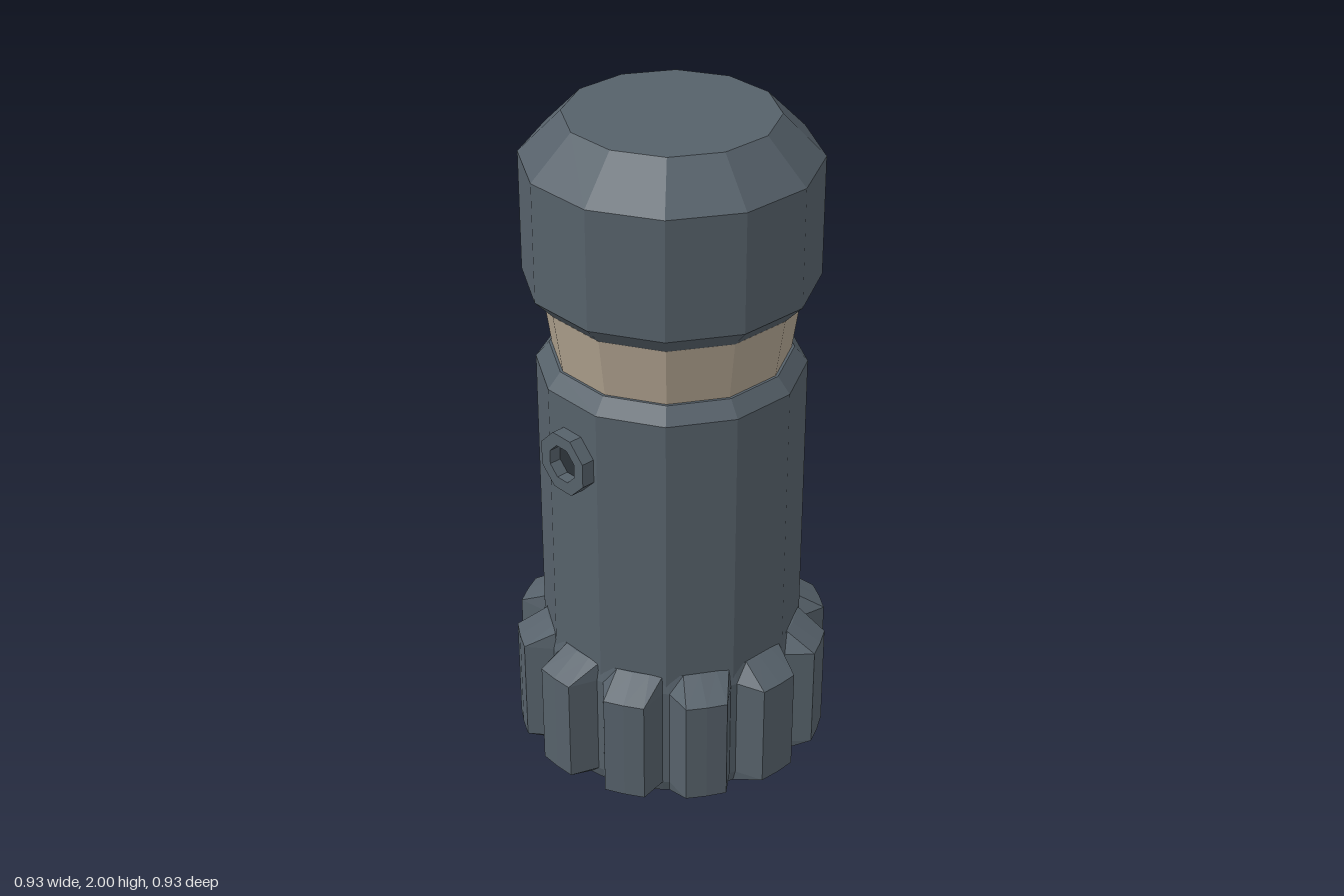
import * as THREE from 'three';

const SIDES = 12;
const mat = (color) => new THREE.MeshStandardMaterial({ color, flatShading: true });

// Twelve-sided turned part; profile pairs are [distance to flat, height], bottom to top
function turned(name, profile, material) {
  const k = 1 / Math.cos(Math.PI / SIDES);
  const pts = profile.map(([r, y]) => new THREE.Vector2(r * k, y));
  const mesh = new THREE.Mesh(new THREE.LatheGeometry(pts, SIDES, Math.PI / SIDES), material);
  mesh.name = name;
  return mesh;
}

// Ribbed grip: a toothed outline stacked in four rings, pulled in at both ends
function gripGeometry() {
  const tooth = [[-13.5, 0.388], [-7.5, 0.464], [0, 0.463], [7.5, 0.464], [13.5, 0.388]];
  const rings = [[0, 0.375], [0.04, 1], [0.365, 1], [0.42, 0.375]];
  const n = tooth.length * SIDES;
  const pos = [], index = [];
  for (const [y, limit] of rings) {
    for (let t = 0; t < SIDES; t++) {
      for (const [deg, radius] of tooth) {
        const a = THREE.MathUtils.degToRad(t * 30 + deg);
        const r = Math.min(radius, limit);
        pos.push(r * Math.sin(a), y, r * Math.cos(a));
      }
    }
  }
  const bottom = pos.length / 3, top = bottom + 1;
  pos.push(0, 0, 0, 0, 0.42, 0);
  for (let i = 0; i < n; i++) {
    const j = (i + 1) % n;
    for (let k = 0; k < rings.length - 1; k++) {
      const a = k * n, b = a + n;
      index.push(a + i, a + j, b + j, a + i, b + j, b + i);
    }
    const last = (rings.length - 1) * n;
    index.push(bottom, j, i, top, last + i, last + j);
  }
  const g = new THREE.BufferGeometry();
  g.setAttribute('position', new THREE.Float32BufferAttribute(pos, 3));
  g.setIndex(index);
  g.computeVertexNormals();
  return g;
}

// Octagon with flats on the axes
function octagon(r) {
  return Array.from({ length: 8 }, (_, i) => {
    const a = (i + 0.5) * Math.PI / 4;
    return new THREE.Vector2(r * Math.cos(a), r * Math.sin(a));
  });
}

// Raised octagonal port with a dark recess
function port(name, metal, dark) {
  const group = new THREE.Group();
  group.name = name;
  const shape = new THREE.Shape(octagon(0.094));
  shape.holes.push(new THREE.Path(octagon(0.055)));
  const rim = new THREE.Mesh(
    new THREE.ExtrudeGeometry(shape, { depth: 0.05, bevelEnabled: false }), metal);
  rim.name = 'portRim';
  rim.position.set(0, 1.075, 0.36);
  const recess = new THREE.Mesh(new THREE.ShapeGeometry(new THREE.Shape(octagon(0.06))), dark);
  recess.name = 'portRecess';
  recess.position.set(0, 1.075, 0.374);
  group.add(rim, recess);
  return group;
}

export function createModel() {
  const model = new THREE.Group();
  model.name = 'canister';
  const metal = mat(0x56616a), tan = mat(0xb0a28f), dark = mat(0x2b3238);

  const grip = new THREE.Mesh(gripGeometry(), metal);
  grip.name = 'ribbedGrip';

  model.add(
    grip,
    turned('body', [[0, 0.3], [0.37, 0.3], [0.37, 1.255], [0.333, 1.3], [0, 1.3]], metal),
    turned('neckBand', [[0, 1.29], [0.324, 1.29], [0.35, 1.475], [0, 1.475]], tan),
    turned('cap', [[0, 1.47], [0.345, 1.47], [0.4, 1.53], [0.4, 1.88], [0.285, 2], [0, 2]], metal),
  );

  // Ports on the front and back
  const front = port('frontPort', metal, dark);
  const back = port('backPort', metal, dark);
  back.rotation.y = Math.PI;
  model.add(front, back);
  return model;
}
